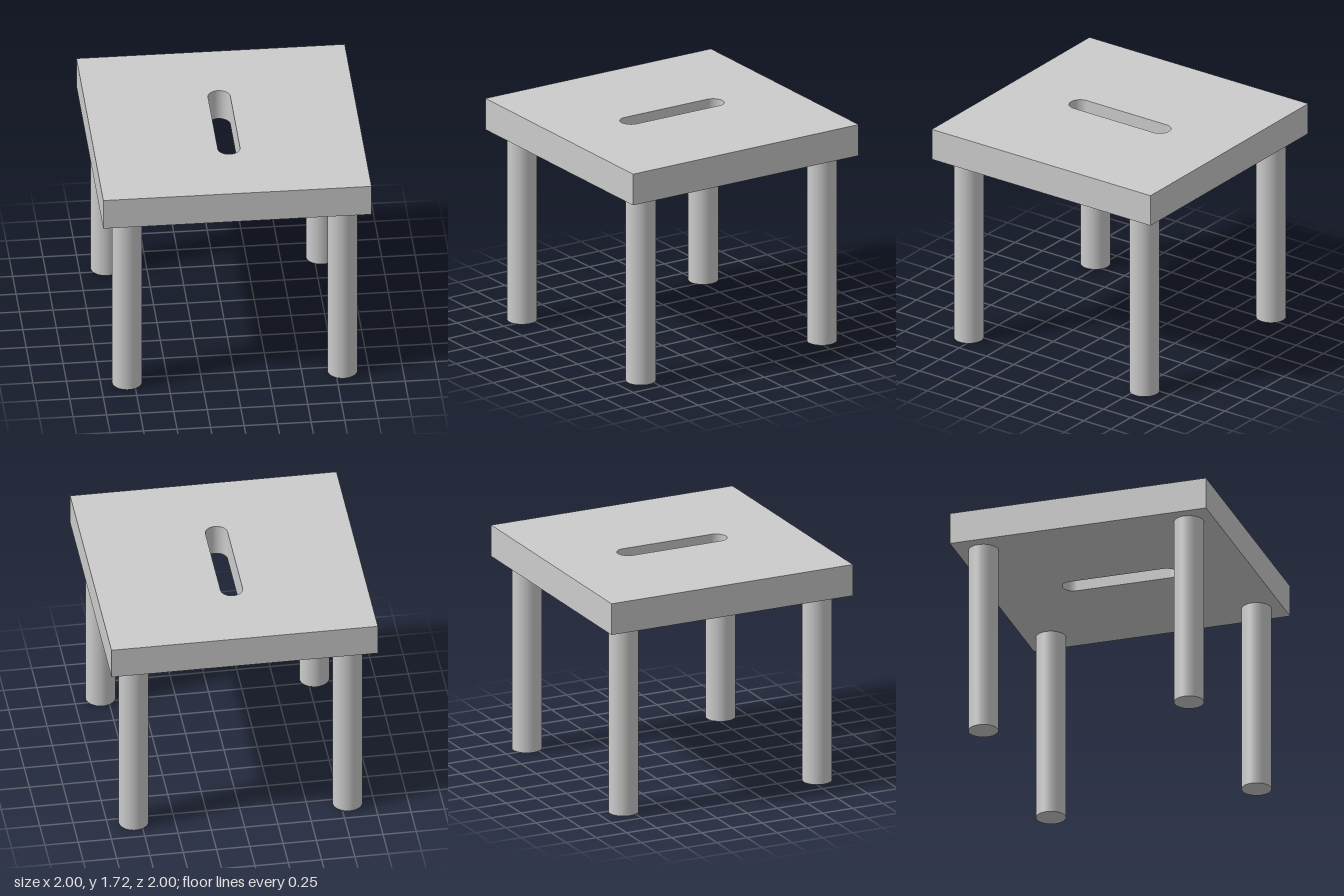
import * as THREE from 'three';

const SEAT_BOTTOM = 1.475, SEAT_TOP = 1.72;
const LEG_RADIUS = 0.112, LEG_OFFSET = 0.803;
const SLOT_RADIUS = 0.083, SLOT_HALF = 0.447;

export function createModel() {
  const stool = new THREE.Group();
  stool.name = 'stool';
  const material = new THREE.MeshStandardMaterial({ color: 0xcccccc });

  // Square seat with a rounded hand slot running front to back
  const outline = new THREE.Shape();
  outline.moveTo(-1, -1).lineTo(1, -1).lineTo(1, 1).lineTo(-1, 1).closePath();
  const straight = SLOT_HALF - SLOT_RADIUS;
  const slot = new THREE.Path();
  slot.absarc(0, straight, SLOT_RADIUS, 0, Math.PI, false);
  slot.absarc(0, -straight, SLOT_RADIUS, Math.PI, 2 * Math.PI, false);
  slot.closePath();
  outline.holes.push(slot);

  const seatGeometry = new THREE.ExtrudeGeometry(outline, {
    depth: SEAT_TOP - SEAT_BOTTOM, bevelEnabled: false, curveSegments: 24,
  });
  seatGeometry.rotateX(-Math.PI / 2);
  const seat = new THREE.Mesh(seatGeometry, material);
  seat.name = 'seat';
  seat.position.y = SEAT_BOTTOM;
  stool.add(seat);

  // Four round legs, one near each corner
  const legGeometry = new THREE.CylinderGeometry(LEG_RADIUS, LEG_RADIUS, SEAT_BOTTOM, 48);
  for (const [zName, z] of [['front', 1], ['back', -1]]) {
    for (const [xName, x] of [['Left', 1], ['Right', -1]]) {
      const leg = new THREE.Mesh(legGeometry, material);
      leg.name = `${zName}${xName}Leg`;
      leg.position.set(x * LEG_OFFSET, SEAT_BOTTOM / 2, z * LEG_OFFSET);
      stool.add(leg);
    }
  }
  return stool;
}
